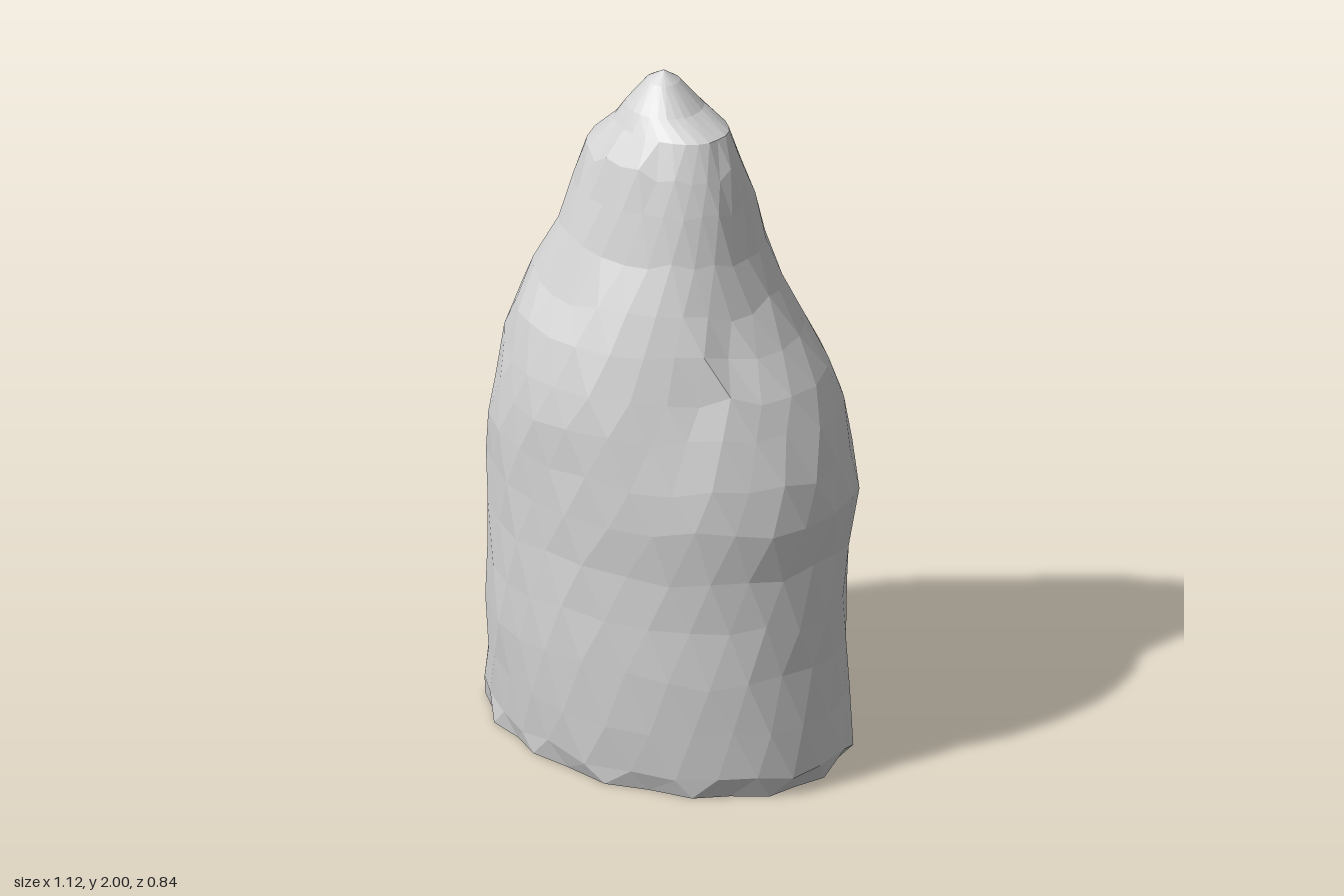
import * as THREE from 'three';

// Cross-sections, bottom to top: [y, xMin, xMax, zMin, zMax]
const RINGS = [
  [0, -0.565, 0.535, -0.365, 0.39],
  [0.06, -0.565, 0.56, -0.37, 0.395],
  [0.2, -0.55, 0.55, -0.37, 0.41],
  [0.35, -0.54, 0.54, -0.375, 0.42],
  [0.5, -0.54, 0.535, -0.385, 0.41],
  [0.65, -0.54, 0.53, -0.4, 0.405],
  [0.8, -0.535, 0.55, -0.415, 0.405],
  [0.92, -0.525, 0.535, -0.415, 0.405],
  [1.05, -0.5, 0.505, -0.4, 0.4],
  [1.16, -0.475, 0.47, -0.365, 0.38],
  [1.27, -0.43, 0.395, -0.315, 0.345],
  [1.38, -0.385, 0.325, -0.26, 0.295],
  [1.52, -0.315, 0.275, -0.21, 0.24],
  [1.65, -0.27, 0.245, -0.175, 0.205],
  [1.76, -0.235, 0.22, -0.145, 0.175],
  [1.85, -0.155, 0.185, -0.115, 0.13],
  [1.9, -0.12, 0.1, -0.095, 0.1],
  [1.97, -0.065, 0.03, -0.045, 0.045],
];
// Corner swells and hollows: [x side, z side, height, spread, amount]
const SWELLS = [
  [-1, -1, 1.5, 0.25, 0.03],
  [-1, -1, 0.85, 0.45, 0.03],
  [1, 1, 1.13, 0.2, -0.06],
  [1, 1, 0.5, 0.4, -0.012],
  [-1, 1, 0.05, 0.2, -0.02],
  [-1, 1, 0.3, 0.5, -0.022],
  [1, -1, 1.55, 0.2, 0.022],
];
const SIDES = 26;
const APEX = [-0.015, 2, 0];

function seeded(seed) {
  return () => {
    seed = (seed * 16807) % 2147483647;
    return seed / 2147483647;
  };
}

function swell(c, s, y) {
  let sum = 0;
  for (const [sx, sz, height, spread, amount] of SWELLS) {
    if (c * sx > 0 && s * sz > 0) {
      sum += amount * Math.abs(2 * c * s) * Math.exp(-(((y - height) / spread) ** 2));
    }
  }
  return sum;
}

function ringPoints([y, x0, x1, z0, z1], row, rand) {
  const points = [];
  for (let i = 0; i < SIDES; i++) {
    // alternate rows are turned half a step, giving diamond facets
    const a = ((i + (row % 2) * 0.5) / SIDES) * Math.PI * 2;
    const c = Math.cos(a), s = Math.sin(a);
    let k = 1 + (rand() - 0.5) * 0.022;
    // scalloped foot
    if (row === 0 && i % 2 === 1) k *= 0.955;
    // small chip under the left shoulder
    if (row === 10 && Math.abs(a - 0.5) < 0.2) k *= 0.96;
    const lift = row > 0 && row < 15 ? (rand() - 0.5) * 0.035 : 0;
    const out = swell(c, s, y);
    const px = Math.sign(c) * Math.abs(c) ** 0.95;
    const pz = Math.sign(s) * Math.abs(s) ** 0.95;
    points.push([
      (x0 + x1) / 2 + px * k * (x1 - x0) / 2 + c * out,
      y + lift,
      (z0 + z1) / 2 + pz * k * (z1 - z0) / 2 + s * out,
    ]);
  }
  return points;
}

function spireGeometry() {
  const rand = seeded(4711);
  const rings = RINGS.map((ring, row) => ringPoints(ring, row, rand));
  const positions = [];
  const tri = (a, b, c) => positions.push(...a, ...b, ...c);

  // staggered side facets
  for (let r = 0; r < rings.length - 1; r++) {
    const low = rings[r], high = rings[r + 1];
    for (let i = 0; i < SIDES; i++) {
      const j = (i + 1) % SIDES;
      if (r % 2 === 0) {
        tri(low[i], high[i], low[j]);
        tri(low[j], high[i], high[j]);
      } else {
        tri(low[i], high[i], high[j]);
        tri(low[i], high[j], low[j]);
      }
    }
  }
  // pointed tip and flat underside
  const top = rings[rings.length - 1], base = rings[0];
  for (let i = 0; i < SIDES; i++) {
    const j = (i + 1) % SIDES;
    tri(top[i], APEX, top[j]);
    tri(base[i], base[j], [0, 0, 0]);
  }

  // unshared corners keep every facet flat
  const geometry = new THREE.BufferGeometry();
  geometry.setAttribute('position', new THREE.Float32BufferAttribute(positions, 3));
  geometry.computeVertexNormals();
  return geometry;
}

export function createModel() {
  const model = new THREE.Group();
  model.name = 'rockSpire';
  const stone = new THREE.MeshStandardMaterial({ color: 0xd4d4d4 });
  stone.name = 'stone grey';
  const rock = new THREE.Mesh(spireGeometry(), stone);
  rock.name = 'rock';
  model.add(rock);
  return model;
}
